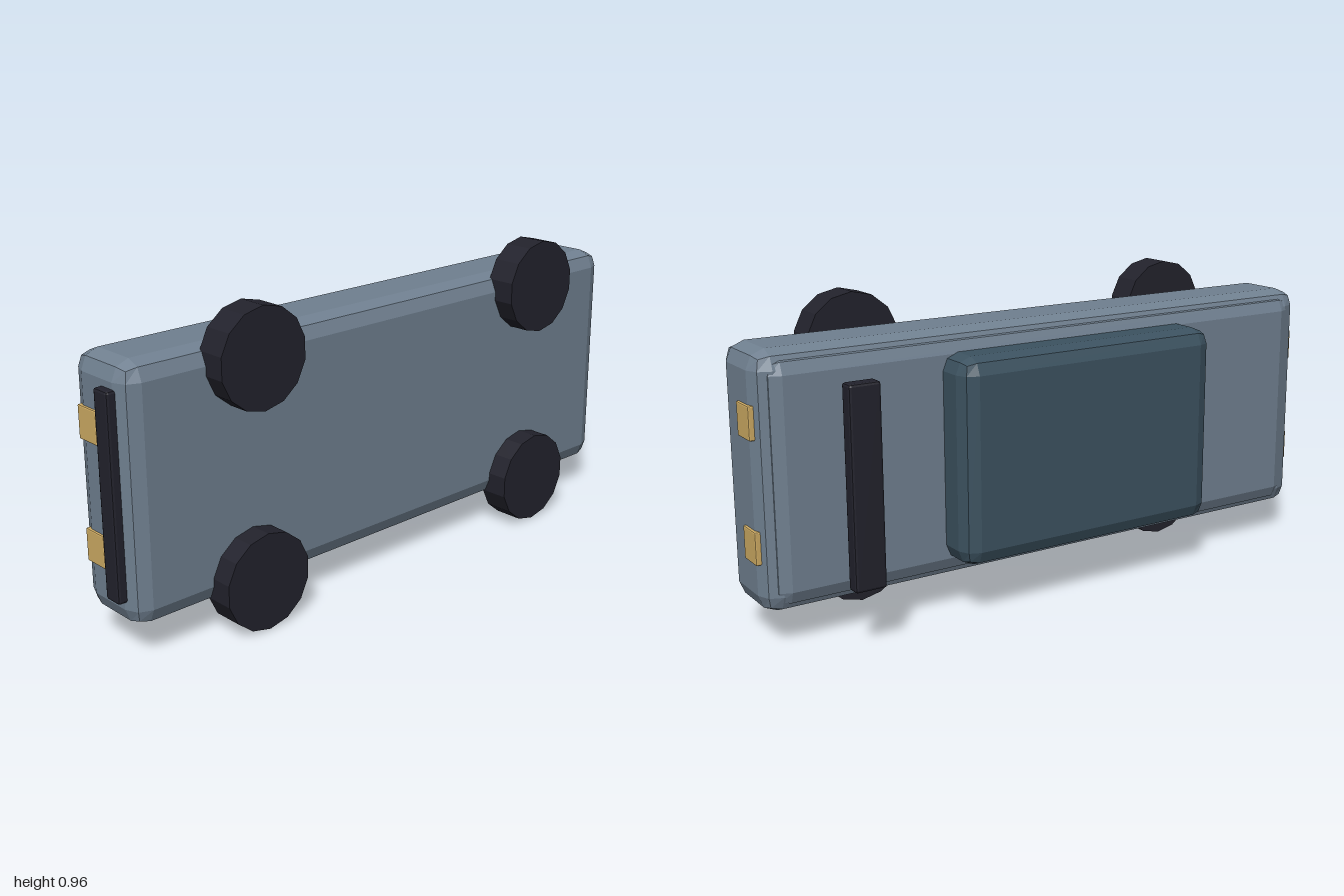
import * as THREE from 'three';
import { RoundedBoxGeometry } from 'three/addons/geometries/RoundedBoxGeometry.js';

// The car lies on its side: length along x, width along y, roof towards -z.
export function createModel() {
  const car = new THREE.Group();
  car.name = 'car';

  const mat = (name, color) => {
    const m = new THREE.MeshStandardMaterial({ color });
    m.name = name;
    return m;
  };
  const paint = mat('slatePaint', 0x708090);
  const glass = mat('cabinBlue', 0x3c5260);
  const dark = mat('darkRubber', 0x22222c);
  const lamp = mat('lampYellow', 0xcfac64);

  const add = (name, geometry, material, x, y, z) => {
    const flat = geometry.index ? geometry.toNonIndexed() : geometry;
    flat.computeVertexNormals(); // faceted normals
    const mesh = new THREE.Mesh(flat, material);
    mesh.name = name;
    mesh.position.set(x, y, z);
    car.add(mesh);
  };

  // Bevelled block given by its extents on each axis
  const block = (name, material, [x0, x1], [y0, y1], [z0, z1], bevel) =>
    add(name, new RoundedBoxGeometry(x1 - x0, y1 - y0, z1 - z0, 1, bevel), material,
      (x0 + x1) / 2, (y0 + y1) / 2, (z0 + z1) / 2);

  // Body, raised deck and cabin
  block('body', paint, [-0.976, 0.99], [0.103, 0.859], [-0.082, 0.169], 0.055);
  block('deck', paint, [-0.945, 0.963], [0.121, 0.841], [-0.093, 0.03], 0.05);
  block('cabin', glass, [-0.49, 0.42], [0.167, 0.795], [-0.215, 0.0], 0.05);

  // Spoiler above the deck and bumper at the other end
  block('spoiler', dark, [0.69, 0.787], [0.185, 0.777], [-0.235, -0.188], 0.008);
  block('bumper', dark, [-1.0, -0.955], [0.18, 0.785], [0.06, 0.122], 0.008);

  // Lamps on both ends
  for (const y of [0.302, 0.66]) {
    block('rightLamp', lamp, [0.97, 0.998], [y - 0.049, y + 0.049], [-0.047, 0.037], 0.004);
    block('leftLamp', lamp, [-0.983, -0.955], [y - 0.049, y + 0.049], [-0.047, 0.037], 0.004);
  }

  // Wheels with a corner pointing straight up and down
  for (const x of [-0.571, 0.586]) {
    for (const y of [0.149, 0.81]) {
      const wheel = new THREE.CylinderGeometry(0.149, 0.149, 0.094, 14).rotateX(Math.PI / 2);
      add('wheel', wheel, dark, x, y, 0.19);
    }
  }
  return car;
}
